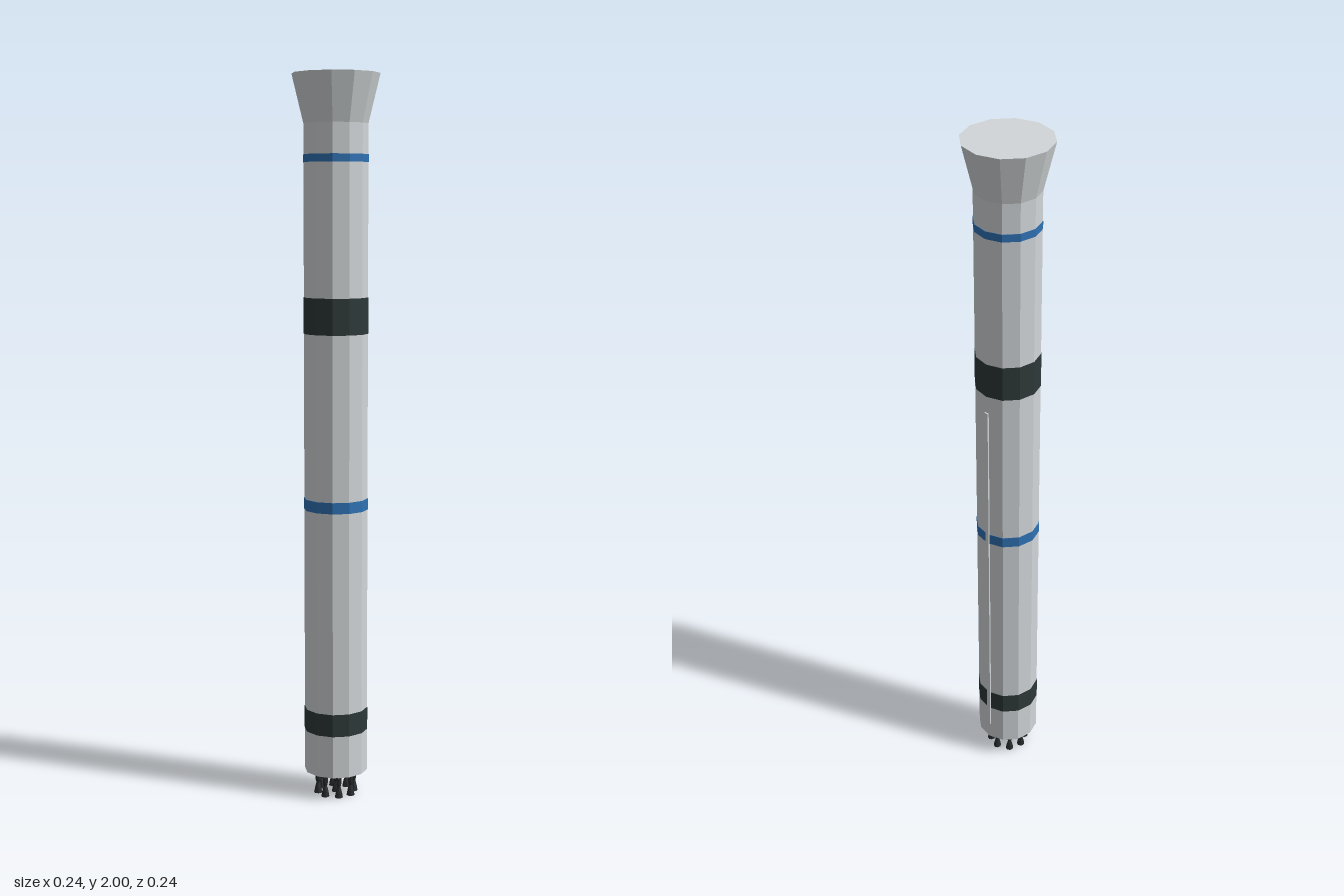
import * as THREE from 'three';

const mat = (name, color) => Object.assign(new THREE.MeshStandardMaterial({ color, flatShading: true }), { name });

export function createModel() {
  const white = mat('hullWhite', 0xd2d6d8);
  const dark = mat('bandDark', 0x2e3939);
  const blue = mat('stripeBlue', 0x2f72b4);
  const engineDark = mat('engineDark', 0x26292b);

  const rocket = new THREE.Group();
  rocket.name = 'rocketBooster';
  const add = (name, geometry, material, x = 0, y = 0, z = 0) => {
    const mesh = new THREE.Mesh(geometry, material);
    mesh.name = name;
    mesh.position.set(x, y, z);
    rocket.add(mesh);
    return mesh;
  };

  // Twelve-sided section between two heights
  const section = (name, y0, y1, r0, r1, material, open = false) =>
    add(name, new THREE.CylinderGeometry(r1, r0, y1 - y0, 12, 1, open), material, 0, (y0 + y1) / 2, 0);

  const R = 0.088;
  section('hull', 0.068, 1.868, R, R, white);
  section('flaredTop', 1.868, 2, R, 0.12, white);

  // Painted bands wrapped just outside the hull
  section('lowerBand', 0.187, 0.25, R + 0.001, R + 0.001, dark);
  section('middleStripe', 0.816, 0.847, R + 0.001, R + 0.001, blue);
  section('upperBand', 1.303, 1.402, R + 0.001, R + 0.001, dark);
  section('topStripe', 1.765, 1.786, R + 0.001, R + 0.001, blue);

  // Cable duct along the left side
  add('cableDuct', new THREE.BoxGeometry(0.012, 1.13, 0.011), white, 0.0855, 0.687, 0);

  // Engines: eight in a ring and one in the centre
  const profile = [[0, 0.056], [0.007, 0.056], [0.007, 0.038], [0.005, 0.03], [0.009, 0.014], [0.0115, 0]]
    .reverse().map(([r, y]) => new THREE.Vector2(r, y));
  const bell = new THREE.LatheGeometry(profile, 8);
  const neck = new THREE.CylinderGeometry(0.003, 0.003, 0.014, 6);
  engineDark.side = THREE.DoubleSide;
  for (let i = 0; i < 9; i++) {
    const a = (i * Math.PI) / 4;
    const r = i < 8 ? 0.051 : 0;
    const x = r * Math.cos(a), z = r * Math.sin(a);
    add('engineBell', bell, engineDark, x, 0, z);
    add('engineNeck', neck, white, x, 0.062, z);
  }
  return rocket;
}
